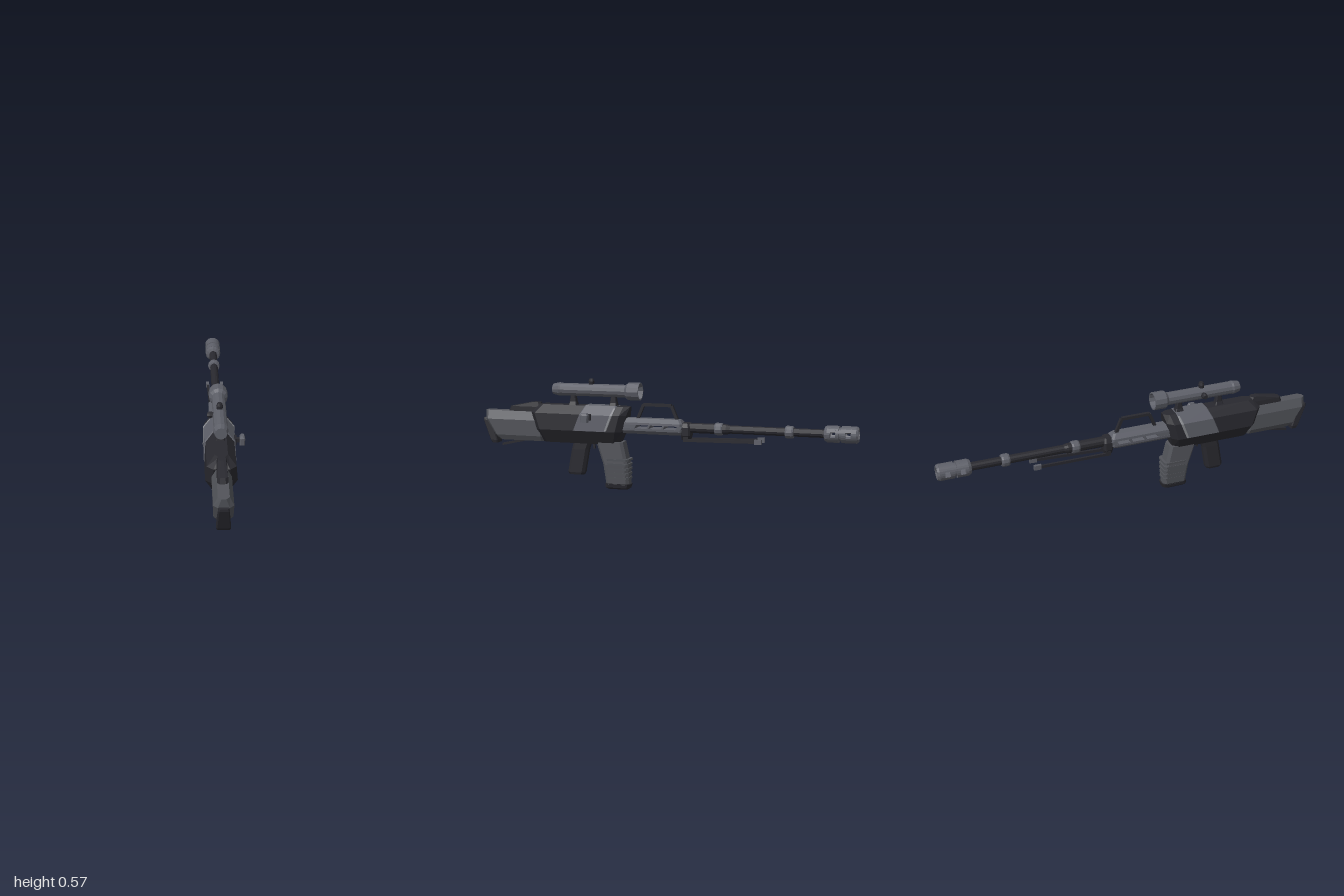
import * as THREE from 'three';

const mat = (name, color) => {
  const m = new THREE.MeshStandardMaterial({ color, flatShading: true });
  m.name = name;
  return m;
};

export function createModel() {
  const black = mat('black polymer', 0x29292f);
  const grey = mat('grey metal', 0x5d5f68);
  const slate = mat('slate grey', 0x52545a);
  const light = mat('light grey', 0x85878c);

  const model = new THREE.Group();
  model.name = 'rifle';
  const body = new THREE.Group();
  body.name = 'body';
  body.position.x = -0.023;
  model.add(body);

  const add = (name, geo, material) => {
    const mesh = new THREE.Mesh(geo, material);
    mesh.name = name;
    body.add(mesh);
    return mesh;
  };

  // Solid stacked from horizontal sections [y, zBack, zFront, halfWidth], corners cut by c
  function block(name, material, levels, c = 0.008, x = 0) {
    const pos = [], index = [], n = 8;
    for (const [y, b, f, w] of levels) {
      const k = Math.min(c, w * 0.6);
      for (const [px, pz] of [[w, b - c], [w, f + c], [w - k, f], [k - w, f],
        [-w, f + c], [-w, b - c], [k - w, b], [w - k, b]]) pos.push(px + x, y, pz);
    }
    for (let l = 0; l < levels.length - 1; l++) {
      for (let i = 0; i < n; i++) {
        const a = l * n + i, d = l * n + (i + 1) % n;
        index.push(a, d, d + n, a, d + n, a + n);
      }
    }
    const top = (levels.length - 1) * n;
    for (let i = 1; i < n - 1; i++) index.push(0, i + 1, i, top, top + i, top + i + 1);
    const geo = new THREE.BufferGeometry();
    geo.setAttribute('position', new THREE.Float32BufferAttribute(pos, 3));
    geo.setIndex(index);
    const flat = geo.toNonIndexed();
    flat.computeVertexNormals();
    return add(name, flat, material);
  }

  // Turned part along z from [radius, z] points, z rising
  function rod(name, material, y, pts, sides = 12) {
    const geo = new THREE.LatheGeometry(pts.map(p => new THREE.Vector2(...p)), sides);
    geo.rotateX(Math.PI / 2).translate(0, y, 0);
    return add(name, geo, material);
  }

  // Square bar between two points
  function bar(name, material, a, b, w, h = w) {
    const A = new THREE.Vector3(...a), B = new THREE.Vector3(...b);
    const mesh = new THREE.Mesh(new THREE.BoxGeometry(w, h, A.distanceTo(B)), material);
    mesh.name = name;
    mesh.position.copy(A).add(B).multiplyScalar(0.5);
    mesh.lookAt(B);
    body.add(mesh);
  }

  // Stock, butt pad, cheek rest and lower strap
  block('stock', slate, [
    [0.235, 0.905, 0.64, 0.03], [0.262, 0.93, 0.64, 0.044],
    [0.345, 0.98, 0.64, 0.046], [0.39, 0.985, 0.64, 0.026]], 0.02);
  block('buttPad', black, [
    [0.215, 0.945, 0.915, 0.03], [0.23, 0.955, 0.915, 0.033],
    [0.335, 0.998, 0.95, 0.025], [0.348, 0.998, 0.96, 0.021]], 0.005);
  block('cheekRest', black, [
    [0.375, 0.855, 0.66, 0.026], [0.415, 0.84, 0.66, 0.024], [0.44, 0.72, 0.67, 0.018]], 0.012);
  bar('stockStrap', black, [0, 0.206, 0.895], [0, 0.234, 0.77], 0.022, 0.012);

  // Receiver with side panels
  block('receiver', black, [
    [0.235, 0.655, 0.225, 0.036], [0.305, 0.68, 0.203, 0.075],
    [0.39, 0.71, 0.182, 0.068], [0.433, 0.675, 0.17, 0.03]], 0.03);
  block('sidePanel', grey, [
    [0.306, 0.463, 0.28, 0.077], [0.39, 0.428, 0.249, 0.073], [0.436, 0.408, 0.235, 0.033]], 0.004);
  block('panelTrim', light, [
    [0.31, 0.29, 0.278, 0.079], [0.39, 0.261, 0.247, 0.0755], [0.425, 0.25, 0.238, 0.045]], 0.002);

  // Bolt handle
  block('boltPlate', black, [[0.362, 0.408, 0.362, 0.012], [0.395, 0.408, 0.362, 0.012]], 0.004, 0.068);
  block('boltStem', black, [[0.37, 0.395, 0.375, 0.014], [0.389, 0.395, 0.375, 0.014]], 0.004, 0.082);
  block('boltKnob', grey, [
    [0.356, 0.402, 0.366, 0.013], [0.392, 0.406, 0.362, 0.013], [0.404, 0.4, 0.368, 0.008]], 0.005, 0.108);

  // Pistol grip and trigger
  block('grip', black, [
    [0.066, 0.51, 0.428, 0.022], [0.078, 0.516, 0.422, 0.026],
    [0.2, 0.494, 0.4, 0.025], [0.25, 0.48, 0.383, 0.023]], 0.014);
  bar('trigger', black, [0, 0.24, 0.375], [0, 0.205, 0.37], 0.01);

  // Magazine with ribs and floor plate
  block('magazine', slate, [
    [0.025, 0.3, 0.175, 0.032], [0.13, 0.312, 0.178, 0.043], [0.25, 0.352, 0.205, 0.041]], 0.014);
  for (let i = 0; i < 5; i++) {
    const y = 0.055 + i * 0.024, w = 0.0345 + i * 0.0022;
    block('magazineRib', slate, [
      [y, 0.295, 0.172, w + 0.002], [y + 0.011, 0.297, 0.172, w + 0.003]], 0.012);
  }
  block('magazineFloor', black, [
    [0, 0.298, 0.185, 0.02], [0.008, 0.307, 0.174, 0.028], [0.03, 0.304, 0.168, 0.033]], 0.012);

  // Vented handguard: lower and upper rails joined by slanted posts
  block('handguardLower', grey, [
    [0.297, 0.22, -0.1, 0.022], [0.315, 0.22, -0.115, 0.042], [0.327, 0.22, -0.115, 0.043]], 0.01);
  block('handguardUpper', grey, [
    [0.345, 0.22, -0.115, 0.043], [0.357, 0.22, -0.115, 0.042], [0.377, 0.22, -0.1, 0.022]], 0.01);
  for (const [b, f] of [[0.22, 0.13], [0.068, 0.055], [-0.008, -0.022], [-0.085, -0.115]]) {
    block('handguardPost', grey, [[0.327, b + 0.005, f + 0.005, 0.042], [0.345, b - 0.005, f - 0.005, 0.042]], 0.002);
  }
  block('handguardCap', black, [
    [0.275, -0.108, -0.15, 0.024], [0.3, -0.108, -0.155, 0.037],
    [0.34, -0.108, -0.155, 0.037], [0.362, -0.108, -0.148, 0.026]], 0.008);

  // Carry handle
  const arch = [[0, 0.375, 0.13], [0, 0.393, 0.122], [0, 0.446, 0.1], [0, 0.446, -0.05], [0, 0.393, -0.072], [0, 0.375, -0.08]];
  for (let i = 0; i < arch.length - 1; i++) bar('carryHandle', black, arch[i], arch[i + 1], 0.018, 0.015);

  // Barrel and rings
  const axis = 0.337;
  rod('barrel', black, axis, [[0, -0.85], [0.021, -0.85], [0.021, -0.36], [0.026, -0.34], [0.026, -0.11], [0, -0.11]]);
  for (const z of [-0.3, -0.66]) {
    rod('barrelRing', grey, axis, [
      [0.02, z - 0.022], [0.029, z - 0.02], [0.032, z - 0.012], [0.032, z + 0.012], [0.029, z + 0.02], [0.02, z + 0.022]]);
  }

  // Hollow muzzle brake with side ports
  function ring(z0, z1, R, ported) {
    const r = 0.024, gap = 0.34;
    for (const [a, b] of ported ? [[gap, Math.PI - gap], [Math.PI + gap, 2 * Math.PI - gap]] : [[0, 2 * Math.PI]]) {
      const s = new THREE.Shape().absarc(0, 0, R, a, b, false);
      if (ported) s.absarc(0, 0, r, b, a, true);
      else s.holes.push(new THREE.Path().absarc(0, 0, r, 0, 2 * Math.PI, true));
      const geo = new THREE.ExtrudeGeometry(s, { depth: z1 - z0, bevelEnabled: false, curveSegments: ported ? 6 : 12 });
      add('muzzleBrake', geo.translate(0, axis, z0), grey);
    }
  }
  rod('muzzleCollar', grey, axis, [[0.042, -0.848], [0.036, -0.835], [0.02, -0.83]]);
  for (const [z0, z1, R, ported] of [
    [-0.864, -0.848, 0.042], [-0.889, -0.864, 0.042, true], [-0.905, -0.889, 0.042],
    [-0.917, -0.905, 0.034], [-0.938, -0.917, 0.042], [-0.965, -0.938, 0.042, true], [-0.99, -0.965, 0.042]]) {
    ring(z0, z1, R, ported);
  }
  rod('muzzleLip', grey, axis, [[0.024, -0.99], [0.024, -1], [0.036, -1], [0.042, -0.99]]);

  // Folded bipod
  for (const s of [-1, 1]) {
    bar('bipodLeg', black, [s * 0.026, 0.275, -0.12], [s * 0.038, 0.284, -0.5], 0.011, 0.014);
    bar('bipodFoot', grey, [s * 0.038, 0.284, -0.49], [s * 0.039, 0.285, -0.527], 0.016, 0.024);
  }
  bar('bipodHinge', black, [-0.036, 0.282, -0.135], [0.036, 0.282, -0.135], 0.025);

  // Scope with mounts and turrets
  const sy = 0.512;
  rod('scope', grey, sy, [
    [0, 0.145], [0.036, 0.145], [0.04, 0.117], [0.046, 0.117], [0.046, 0.18], [0.033, 0.195],
    [0.033, 0.55], [0.036, 0.56], [0.028, 0.596], [0, 0.596]]);
  for (const z of [0.485, 0.262]) {
    block('scopeMount', black, [
      [0.425, z + 0.024, z - 0.024, 0.025], [0.45, z + 0.018, z - 0.018, 0.015],
      [0.488, z + 0.012, z - 0.012, 0.013]], 0.004);
  }
  const turret = (name, turn) => {
    const g = new THREE.CylinderGeometry(0.011, 0.016, 0.014, 8).translate(0, 0.053, 0);
    add(name, g.rotateZ(turn).translate(0, sy, 0.385), black);
    const stem = new THREE.CylinderGeometry(0.016, 0.014, 0.022, 8).translate(0, 0.036, 0);
    add(name + 'Base', stem.rotateZ(turn).translate(0, sy, 0.385), black);
  };
  turret('topTurret', 0);
  turret('sideTurret', Math.PI / 2);

  return model;
}
